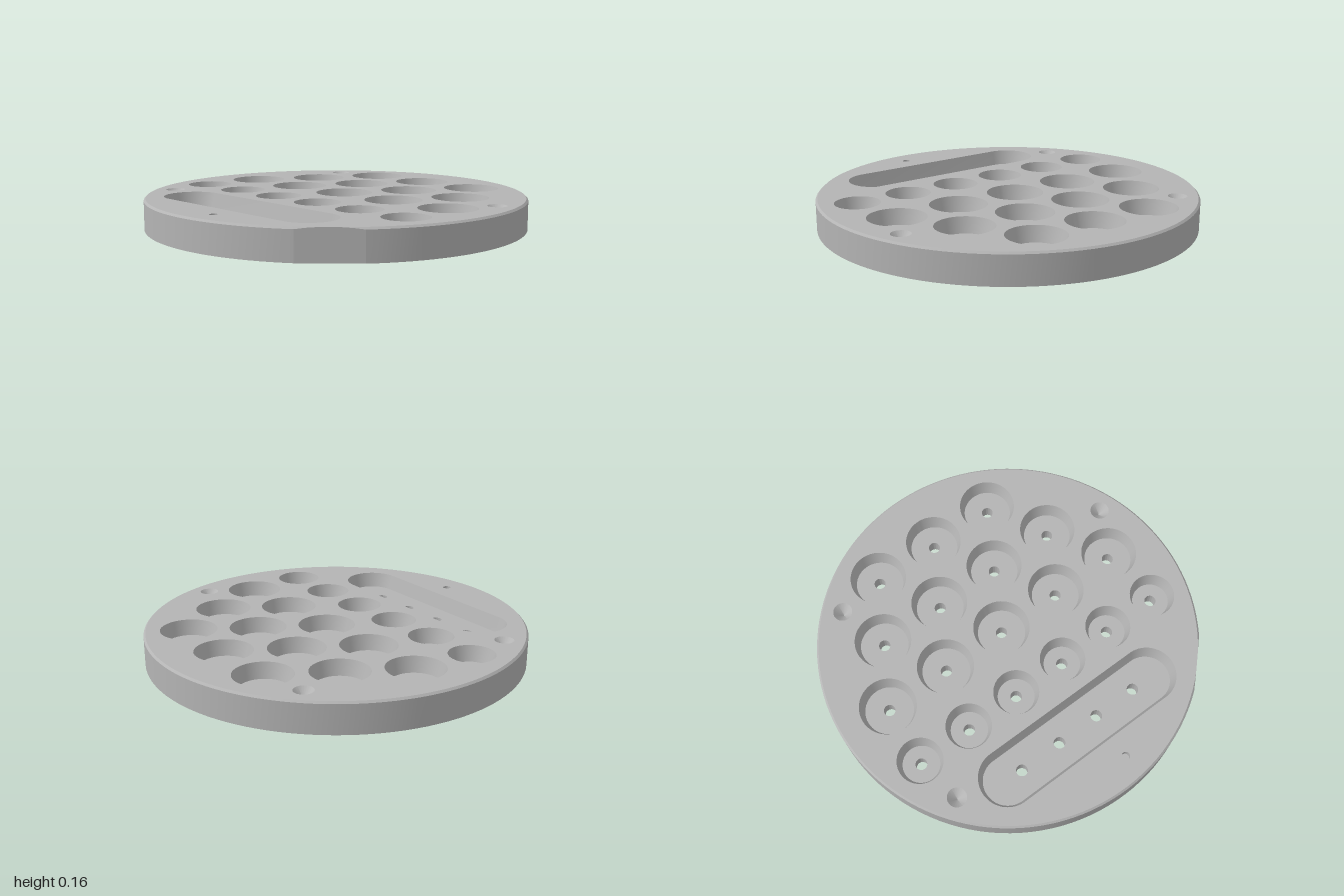
import * as THREE from 'three';
import { toCreasedNormals } from 'three/addons/utils/BufferGeometryUtils.js';

const TOP = 0.16, FLOOR = 0.08, HOLE_R = 0.03, FLAT = 0.988;

// Closed loop around (x, z); stretch > 0 turns the circle into a stadium along x.
function loop(x, z, r, y, n = 48, stretch = 0) {
  return Array.from({ length: n }, (_, i) => {
    const a = ((i + 0.5) / n) * Math.PI * 2;
    return new THREE.Vector3(x + Math.sign(Math.cos(a)) * stretch + r * Math.cos(a), y, z + r * Math.sin(a));
  });
}

// Disc outline with one flat cut off at the front left; the height follows the rim chamfer.
function outline(radius, height) {
  return Array.from({ length: 120 }, (_, i) => {
    const a = (i / 120) * Math.PI * 2;
    const c = Math.cos(a - Math.PI / 4);
    const r = c > 0.98 ? Math.min(radius, FLAT / c) : radius;
    const y = height ?? TOP - Math.max(0, r - 0.99);
    return new THREE.Vector3(r * Math.cos(a), y, r * Math.sin(a));
  });
}

// Skin through a series of loops with equal point counts.
function loft(rings, crease = 0.5) {
  const n = rings[0].length, index = [];
  for (let k = 0; k < rings.length - 1; k++) {
    for (let i = 0; i < n; i++) {
      const a = k * n + i, b = k * n + ((i + 1) % n);
      index.push(a, a + n, b, b, a + n, b + n);
    }
  }
  const g = new THREE.BufferGeometry().setFromPoints(rings.flat());
  g.setIndex(index);
  return toCreasedNormals(g, crease);
}

// Flat horizontal face with holes, facing up (1) or down (-1).
function face(border, holes, y, dir) {
  const flat = (pts) => pts.map((p) => new THREE.Vector2(p.x, -dir * p.z));
  const shape = new THREE.Shape(flat(border));
  shape.holes = holes.map((h) => new THREE.Path(flat(h)));
  return new THREE.ShapeGeometry(shape).rotateX(-dir * Math.PI / 2).translate(0, y, 0);
}

export function createModel() {
  const group = new THREE.Group();
  const grey = new THREE.MeshStandardMaterial({ color: 0xb4b4b4 });
  grey.name = 'grey';
  const add = (name, geometry) => {
    const mesh = new THREE.Mesh(geometry, grey);
    mesh.name = name;
    group.add(mesh);
  };
  const topHoles = [], bottomHoles = [];

  // Rows of round tapered wells, each with a drain hole
  const rows = [
    { z: -0.68, count: 3, step: 0.36, r: 0.148 },
    { z: -0.37, count: 4, step: 0.36, r: 0.148 },
    { z: -0.06, count: 5, step: 0.36, r: 0.148 },
    { z: 0.27, count: 6, step: 0.3, r: 0.118 },
  ];
  for (const { z, count, step, r } of rows) {
    for (let i = 0; i < count; i++) {
      const x = (i - (count - 1) / 2) * step;
      const rings = [[r, TOP], [r - 0.022, FLOOR], [HOLE_R, FLOOR], [HOLE_R, 0]]
        .map(([radius, y]) => loop(x, z, radius, y));
      add('well', loft(rings));
      topHoles.push(rings[0]);
      bottomHoles.push(rings[3]);
    }
  }

  // Long rounded trough with four drain holes
  const troughTop = loop(0, 0.6, 0.148, TOP, 64, 0.45);
  const troughBase = loop(0, 0.6, 0.126, FLOOR, 64, 0.45);
  topHoles.push(troughTop);
  add('troughWall', loft([troughTop, troughBase]));
  const drains = [-0.36, -0.12, 0.12, 0.36].map((x) => loop(x, 0.6, HOLE_R, FLOOR));
  add('troughFloor', face(troughBase, drains, FLOOR, 1));
  for (const drain of drains) {
    const exit = drain.map((p) => p.clone().setY(0));
    add('troughDrain', loft([drain, exit]));
    bottomHoles.push(exit);
  }

  // Conical dimples
  for (const [x, z] of [[-0.62, -0.63], [0.84, -0.29], [-0.71, 0.53]]) {
    const rim = loop(x, z, 0.05, TOP);
    add('dimple', loft([rim, loop(x, z, 0.001, TOP - 0.05)]));
    topHoles.push(rim);
  }

  // Small blind hole near the front edge
  const pin = [[0.021, TOP], [0.021, TOP - 0.04], [0.0005, TOP - 0.04]]
    .map(([r, y]) => loop(0.09, 0.865, r, y, 32));
  add('pinHole', loft(pin));
  topHoles.push(pin[0]);

  // Disc body
  const base = outline(1, 0), rim = outline(1), edge = outline(0.99);
  add('sideWall', loft([base, rim], 0.13));
  add('rimChamfer', loft([rim, edge], 0.13));
  add('topFace', face(edge, topHoles, TOP, 1));
  add('bottomFace', face(base, bottomHoles, 0, -1));
  return group;
}
